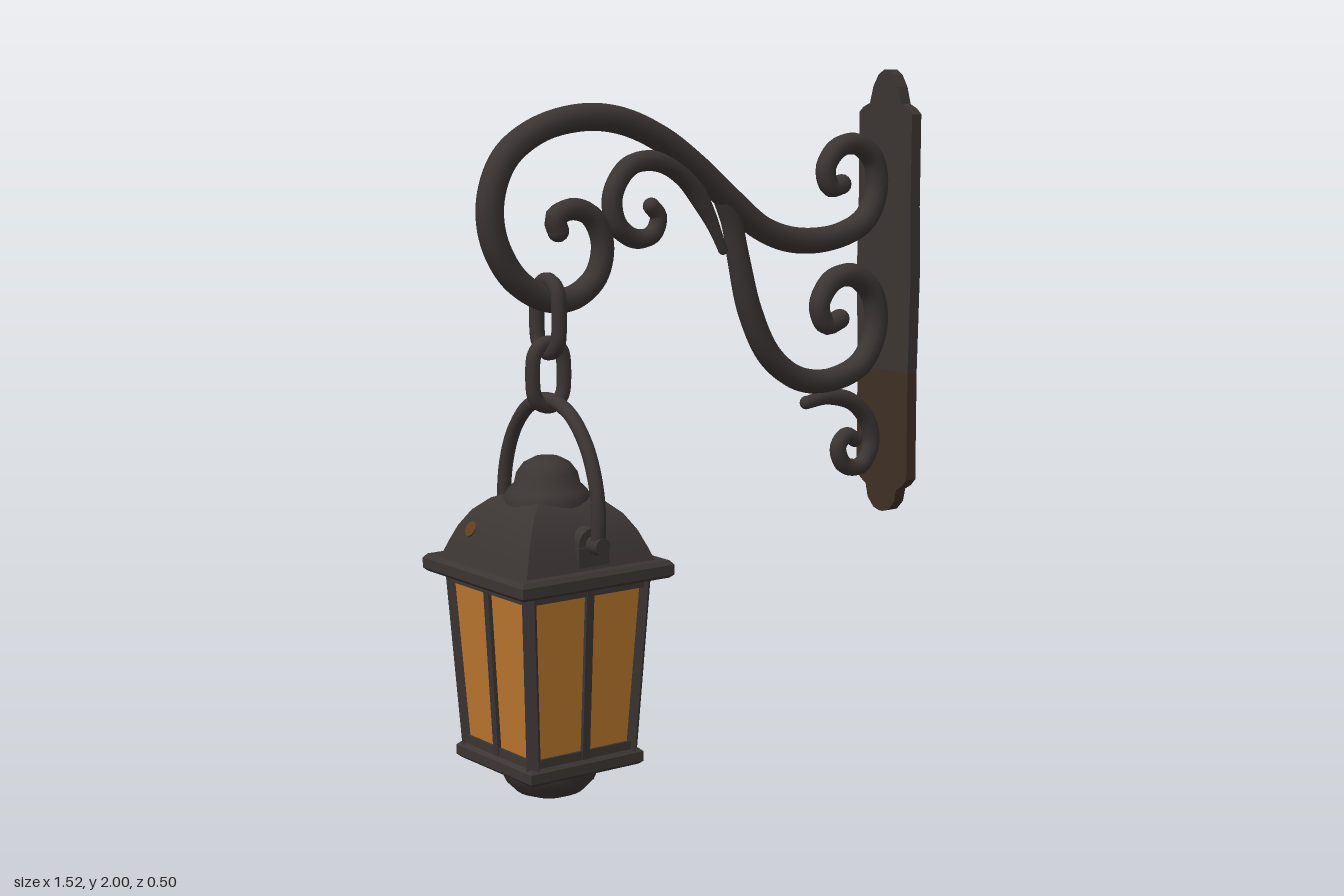
import * as THREE from 'three';
import { toCreasedNormals } from 'three/addons/utils/BufferGeometryUtils.js';

const mat = (name, color) => {
  const m = new THREE.MeshStandardMaterial({ color });
  m.name = name;
  return m;
};
const V = (x, y, z = 0) => new THREE.Vector3(x, y, z);

export function createModel() {
  const iron = mat('dark iron', 0x3b3533);
  const rust = mat('rusted iron', 0x3e2f25);
  const spot = mat('rust spot', 0x62401f);
  const glass = mat('amber glass', 0xba762d);

  const root = new THREE.Group();
  root.name = 'wallLantern';
  const bracket = new THREE.Group();
  bracket.name = 'bracket';
  const lantern = new THREE.Group();
  lantern.name = 'lantern';
  lantern.position.x = -0.51;
  root.add(bracket, lantern);

  const add = (parent, name, geo, material = iron) => {
    const m = new THREE.Mesh(geo, material);
    m.name = name;
    parent.add(m);
    return m;
  };

  // Round bar along a curve; radius runs r0 -> r -> r1 along its length, with ball ends
  const bar = (parent, name, pts, r0, r, r1, segs = 90) => {
    const curve = new THREE.CatmullRomCurve3(pts);
    const geo = new THREE.TubeGeometry(curve, segs, r, 12);
    const pos = geo.attributes.position, p = V(0, 0);
    for (let i = 0; i <= segs; i++) {
      const t = i / segs, c = curve.getPointAt(t);
      const a = THREE.MathUtils.smoothstep(t, 0, 0.25), b = THREE.MathUtils.smoothstep(1 - t, 0, 0.25);
      const k = Math.min(r0 + (r - r0) * a, r1 + (r - r1) * b) / r;
      for (let j = 0; j <= 12; j++) {
        const n = i * 13 + j;
        p.fromBufferAttribute(pos, n).sub(c).multiplyScalar(k).add(c);
        pos.setXYZ(n, p.x, p.y, p.z);
      }
    }
    add(parent, name, geo);
    [[pts[0], r0], [pts[pts.length - 1], r1]].forEach(([q, rr]) =>
      add(parent, name + 'End', new THREE.SphereGeometry(rr, 12, 8)).position.copy(q));
  };
  const flat = (list) => list.map(([x, y]) => V(x, y));

  // Scrolled bracket bars
  bar(bracket, 'mainArm', flat([
    [-0.465, 1.585], [-0.475, 1.62], [-0.42, 1.643], [-0.355, 1.62], [-0.318, 1.545], [-0.34, 1.455],
    [-0.42, 1.4], [-0.51, 1.405], [-0.61, 1.465], [-0.675, 1.575], [-0.682, 1.685], [-0.635, 1.79],
    [-0.53, 1.86], [-0.385, 1.89], [-0.255, 1.878], [-0.12, 1.825], [0.01, 1.738], [0.127, 1.643],
    [0.25, 1.553], [0.38, 1.512], [0.54, 1.517], [0.645, 1.563], [0.688, 1.65], [0.672, 1.738],
    [0.603, 1.785], [0.53, 1.772], [0.488, 1.715], [0.508, 1.662], [0.55, 1.668]]),
  0.03, 0.038, 0.03, 220);
  bar(bracket, 'lowerBrace', flat([
    [0.11, 1.64], [0.137, 1.575], [0.162, 1.47], [0.205, 1.315], [0.28, 1.18], [0.39, 1.103], [0.513, 1.088],
    [0.635, 1.13], [0.692, 1.235], [0.672, 1.34], [0.595, 1.396], [0.515, 1.383], [0.468, 1.315],
    [0.495, 1.255], [0.548, 1.268]]),
  0.03, 0.036, 0.03, 150);
  bar(bracket, 'innerScroll', flat([
    [0.105, 1.5], [0.05, 1.605], [-0.03, 1.71], [-0.132, 1.762], [-0.228, 1.75], [-0.283, 1.672],
    [-0.268, 1.592], [-0.205, 1.55], [-0.145, 1.56], [-0.125, 1.607], [-0.15, 1.638]]),
  0.014, 0.029, 0.024);
  bar(bracket, 'bottomScroll', flat([
    [0.42, 1.028], [0.51, 1.037], [0.6, 1.013], [0.663, 0.948], [0.677, 0.875], [0.635, 0.815],
    [0.57, 0.825], [0.546, 0.88], [0.578, 0.914], [0.612, 0.898]]),
  0.02, 0.026, 0.024);

  // Wall plate, upper part clean and lower part rusted
  const plate = (name, half, material) => {
    const outline = [...half, ...half.map(([z, y]) => [-z, y]).reverse()];
    const shape = new THREE.Shape(outline.map(([z, y]) => new THREE.Vector2(z, y)));
    const geo = new THREE.ExtrudeGeometry(shape, { depth: 0.037, bevelEnabled: false });
    geo.rotateY(Math.PI / 2).translate(0.72, 0, 0);
    add(bracket, name, geo, material);
  };
  plate('wallPlateUpper', [[0.113, 1.1], [0.121, 1.4], [0.116, 1.6], [0.117, 1.872], [0.098, 1.888],
    [0.07, 1.9], [0.055, 1.95], [0.033, 1.985], [0.008, 2]], iron);
  plate('wallPlateLower', [[0.008, 0.665], [0.033, 0.672], [0.06, 0.7], [0.07, 0.74], [0.095, 0.755],
    [0.114, 0.775], [0.113, 1.1]], rust);

  // Chain links: stadium loops, the first turned edge-on
  const link = (name, y, halfW, halfH, turned) => {
    const pts = [], s = halfH - halfW;
    for (let i = 0; i < 16; i++) {
      const a = (i + 0.5) / 16 * Math.PI * 2;
      pts.push(V(Math.cos(a) * halfW, Math.sin(a) * halfW + Math.sign(Math.sin(a)) * s));
    }
    const m = add(root, name, new THREE.TubeGeometry(new THREE.CatmullRomCurve3(pts, true), 48, 0.021, 10, true));
    m.position.set(-0.502, y, 0);
    if (turned) m.rotation.y = Math.PI / 2;
  };
  link('upperChainLink', 1.355, 0.052, 0.1, true);
  link('lowerChainLink', 1.195, 0.05, 0.087, false);

  // Square and round turned parts, profiles run from bottom to top as [half width, y]
  const turned = (prof, sides) => {
    const k = sides === 4 ? Math.SQRT2 : 1;
    const pts = prof.map(([r, y]) => new THREE.Vector2(r * k, y));
    const geo = new THREE.LatheGeometry(pts, sides, sides === 4 ? Math.PI / 4 : 0);
    return toCreasedNormals(geo, sides === 4 ? 0.45 : 0.7);
  };
  add(lantern, 'eaves', turned([[0, 0.638], [0.24, 0.638], [0.25, 0.647], [0.25, 0.675], [0.24, 0.687], [0, 0.69]], 4));
  add(lantern, 'roof', turned([[0.212, 0.685], [0.197, 0.725], [0.178, 0.77], [0.15, 0.815], [0.112, 0.85],
    [0.07, 0.868], [0, 0.87]], 4));
  add(lantern, 'roofCap', turned([[0.12, 0.83], [0.12, 0.862], [0.108, 0.88], [0.092, 0.895], [0.085, 0.925],
    [0.065, 0.952], [0.035, 0.968], [0, 0.973]], 24));
  add(lantern, 'baseSlab', turned([[0, 0.104], [0.178, 0.104], [0.188, 0.113], [0.188, 0.14], [0.178, 0.15], [0, 0.152]], 4));
  add(lantern, 'baseBowl', turned([[0, 0.004], [0.05, 0.008], [0.095, 0.025], [0.125, 0.055], [0.138, 0.085], [0.14, 0.11]], 24));
  add(lantern, 'glassPanes', turned([[0.167, 0.145], [0.196, 0.64]], 4), glass);

  // Rust mark on the roof slope
  const mark = add(lantern, 'rustMark', new THREE.CylinderGeometry(0.022, 0.022, 0.006, 14), spot);
  mark.position.set(-0.179, 0.77, -0.11);
  mark.rotation.z = 1.07;

  // Frame: corner posts, mullions and rails, one set per side
  const beam = (parent, name, a, b, w, d) => {
    const m = add(parent, name, new THREE.BoxGeometry(w, d, a.distanceTo(b)));
    m.position.copy(a).add(b).multiplyScalar(0.5);
    m.lookAt(b);
  };
  for (let i = 0; i < 4; i++) {
    const side = new THREE.Group();
    side.name = 'frameSide';
    beam(side, 'cornerPost', V(0.161, 0.14, 0.161), V(0.19, 0.645, 0.19), 0.034, 0.034);
    beam(side, 'mullion', V(0, 0.14, 0.166), V(0, 0.645, 0.195), 0.024, 0.024);
    beam(side, 'topRail', V(-0.19, 0.628, 0.192), V(0.19, 0.628, 0.192), 0.024, 0.03);
    beam(side, 'bottomRail', V(-0.163, 0.16, 0.165), V(0.163, 0.16, 0.165), 0.024, 0.028);
    side.rotation.y = i * Math.PI / 2;
    lantern.add(side);
  }

  // Carrying bail with an ear and pin on each side
  const halfBail = [[0.226, 0.755], [0.23, 0.84], [0.215, 0.93], [0.175, 1.02], [0.11, 1.09], [0.05, 1.118]];
  const bailPts = [...halfBail.map(([z, y]) => V(0.01, y, z)), V(0.01, 1.126, 0),
    ...halfBail.map(([z, y]) => V(0.01, y, -z)).reverse()];
  bar(lantern, 'bail', bailPts, 0.026, 0.02, 0.026, 60);
  for (const s of [1, -1]) {
    const ear = add(lantern, 'bailEar', new THREE.CylinderGeometry(0.046, 0.046, 0.04, 16));
    ear.rotation.x = Math.PI / 2;
    ear.position.set(0.01, 0.755, s * 0.182);
    add(lantern, 'earFoot', new THREE.BoxGeometry(0.1, 0.07, 0.03)).position.set(0.01, 0.715, s * 0.193);
    const pin = add(lantern, 'bailPin', new THREE.CylinderGeometry(0.024, 0.024, 0.075, 12));
    pin.rotation.x = Math.PI / 2;
    pin.position.set(0.01, 0.755, s * 0.213);
  }
  return root;
}
